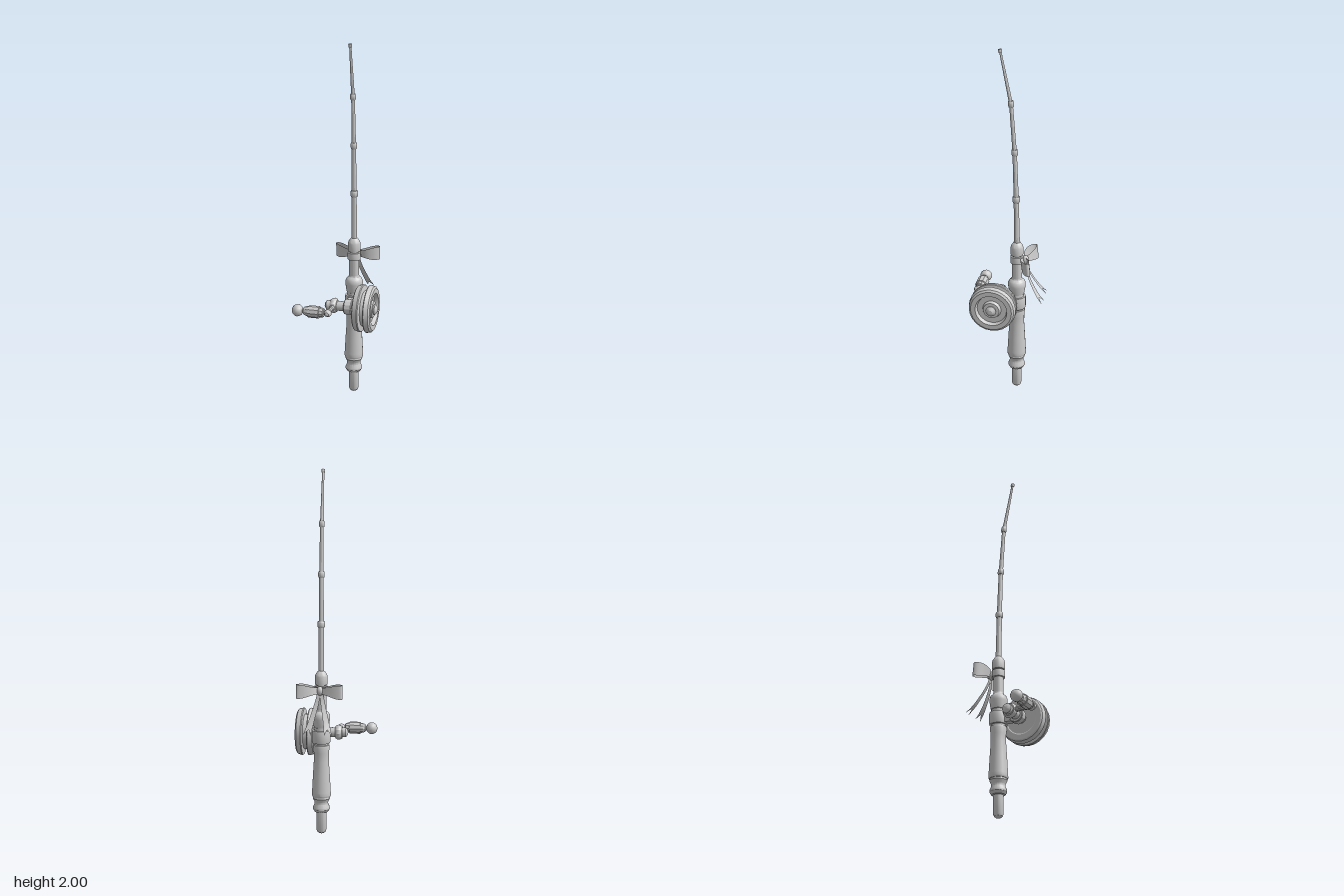
import * as THREE from 'three';
import { toCreasedNormals } from 'three/addons/utils/BufferGeometryUtils.js';

const ROD_X = 0.06, ROD_Z = -0.057;   // handle axis
const REEL_Y = 0.55, REEL_Z = 0.056;  // reel axis
const V = (x, y, z) => new THREE.Vector3(x, y, z);
const grey = new THREE.MeshStandardMaterial({ color: 0xcccccc });
const cloth = new THREE.MeshStandardMaterial({ color: 0xcccccc, side: THREE.DoubleSide });

function part(parent, name, geometry, material = grey) {
  const mesh = new THREE.Mesh(geometry, material);
  mesh.name = name;
  parent.add(mesh);
  return mesh;
}

// Turned shape from [radius, height] pairs, with crisp edges
function turned(points, sides = 20, crease = 0.5) {
  const g = new THREE.LatheGeometry(points.map(p => new THREE.Vector2(p[0], p[1])), sides);
  return toCreasedNormals(g, crease);
}

// The same, with its axis along x
const turnedX = (points, sides, crease) => turned(points, sides, crease).rotateZ(-Math.PI / 2);

// Surface through a grid of points, given row by row
function sheet(rows) {
  const n = rows[0].length, index = [];
  for (let i = 0; i < rows.length - 1; i++) {
    for (let j = 0; j < n - 1; j++) {
      const a = i * n + j, b = a + n;
      index.push(a, b, a + 1, b, b + 1, a + 1);
    }
  }
  const g = new THREE.BufferGeometry().setFromPoints(rows.flat());
  g.setIndex(index);
  g.computeVertexNormals();
  return g;
}

// Turned piece laid from point a towards point b
function between(mesh, a, b) {
  mesh.position.copy(a);
  mesh.quaternion.setFromUnitVectors(V(0, 1, 0), b.clone().sub(a).normalize());
}

function buildHandle() {
  const handle = new THREE.Group();
  handle.name = 'handle';
  part(handle, 'buttEnd', turned([[0, 0], [0.014, 0.002], [0.023, 0.009], [0.027, 0.02],
    [0.028, 0.135]]));
  part(handle, 'buttCollar', turned([[0.027, 0.122], [0.037, 0.125], [0.047, 0.14], [0.047, 0.15],
    [0.038, 0.17], [0.038, 0.182], [0.048, 0.202], [0.046, 0.212], [0.03, 0.214]]));
  part(handle, 'grip', turned([[0.03, 0.21], [0.05, 0.212], [0.053, 0.22], [0.052, 0.24],
    [0.047, 0.33], [0.042, 0.41], [0.042, 0.46], [0.046, 0.492], [0.044, 0.503], [0.035, 0.506]]));
  part(handle, 'reelSeat', turned([[0.038, 0.49], [0.038, 0.62]]));
  part(handle, 'reelBand', turned([[0.036, 0.515], [0.048, 0.515], [0.05, 0.522], [0.05, 0.578],
    [0.048, 0.585], [0.036, 0.585]]));
  part(handle, 'foreGrip', turned([[0.035, 0.6], [0.041, 0.603], [0.043, 0.615], [0.049, 0.65],
    [0.049, 0.665], [0.043, 0.68], [0.03, 0.692], [0.028, 0.70]]));
  part(handle, 'neck', turned([[0.028, 0.69], [0.027, 0.85]]));
  part(handle, 'ferrule', turned([[0.027, 0.838], [0.034, 0.84], [0.035, 0.846], [0.035, 0.885],
    [0.032, 0.895], [0.021, 0.912], [0.015, 0.916]]));
  handle.position.set(ROD_X, 0, ROD_Z);
  return handle;
}

function buildRod() {
  const rod = new THREE.Group();
  rod.name = 'rod';
  // Joints as height, z, rod radius, collar radius
  const joints = [[0.90, -0.057, 0.0165, 0], [1.17, -0.052, 0.014, 0.021], [1.44, -0.043, 0.012, 0.0175],
    [1.71, -0.023, 0.010, 0.0155], [1.992, 0.034, 0.006, 0.0105]];
  for (let i = 1; i < joints.length; i++) {
    const [y0, z0, r0] = joints[i - 1], [y1, z1, r1, rc] = joints[i];
    const a = V(ROD_X, y0, z0), b = V(ROD_X, y1, z1), len = a.distanceTo(b);
    between(part(rod, 'rodSection', turned([[r0, 0], [r1, len]], 12)), a, b);
    const h = i === 4 ? 0.009 : 0.017;
    const collar = part(rod, i === 4 ? 'rodTip' : 'rodCollar', turned([[0, -h], [rc * 0.85, -h],
      [rc, -h * 0.6], [rc, h * 0.6], [rc * 0.85, h], [0, h]], 12));
    between(collar, b, b.clone().multiplyScalar(2).sub(a));
  }
  return rod;
}

function buildReel() {
  const reel = new THREE.Group();
  reel.name = 'reel';
  reel.position.set(0, REEL_Y, REEL_Z);
  // Spool with a line groove and a dished outer face
  part(reel, 'spool', turnedX([[0, 0.11], [0.085, 0.11], [0.09, 0.107], [0.118, 0.107], [0.126, 0.112],
    [0.133, 0.138], [0.13, 0.143], [0.098, 0.147], [0.098, 0.168], [0.13, 0.171], [0.133, 0.176],
    [0.127, 0.2], [0.116, 0.208], [0.09, 0.208], [0.083, 0.185], [0.052, 0.185], [0.045, 0.203],
    [0, 0.205]], 24));
  part(reel, 'spoolCap', turnedX([[0.027, 0.2], [0.03, 0.212], [0.011, 0.225], [0, 0.226]], 12));
  part(reel, 'shaft', turnedX([[0, -0.076], [0.012, -0.074], [0.027, -0.063], [0.027, 0.11]], 16));
  // Clamp that holds the shaft to the handle
  part(reel, 'clamp', turnedX([[0, 0.039], [0.04, 0.039], [0.043, 0.043], [0.043, 0.079],
    [0.04, 0.083], [0, 0.083]], 12));
  part(reel, 'clampFoot', new THREE.BoxGeometry(0.04, 0.06, 0.08)).position.set(0.061, 0, -0.055);

  const crank = new THREE.Group();
  crank.name = 'crank';
  reel.add(crank);
  part(crank, 'crankHub', turnedX([[0.026, -0.043], [0.034, -0.042], [0.041, -0.031], [0.043, -0.023],
    [0.041, -0.014], [0.034, -0.005], [0.026, -0.004]], 12));
  const arm = part(crank, 'crankArm', turned([[0.016, 0.03], [0.012, 0.06], [0.013, 0.105], [0.02, 0.117],
    [0.022, 0.128], [0.012, 0.15], [0, 0.155]], 10).rotateX(Math.PI / 2));
  arm.position.x = -0.023;

  // Turned knob on the end of the arm
  const knob = new THREE.Group();
  knob.name = 'crankKnob';
  knob.position.z = 0.126;
  crank.add(knob);
  part(knob, 'knobGrip', turnedX([[0.011, -0.17], [0.013, -0.163], [0.022, -0.157], [0.028, -0.14],
    [0.028, -0.131], [0.034, -0.13], [0.034, -0.07], [0.028, -0.069], [0.026, -0.048], [0.022, -0.044],
    [0, -0.043]], 10));
  part(knob, 'knobPin', turnedX([[0.011, -0.18], [0.011, -0.015]], 10));
  const ball = part(knob, 'knobBall', new THREE.SphereGeometry(0.034, 14, 10).rotateZ(Math.PI / 2));
  ball.position.x = -0.195;
  ball.scale.x = 0.92;
  return reel;
}

function buildBow() {
  const bow = new THREE.Group();
  bow.name = 'bow';
  bow.position.set(ROD_X, 0, 0);
  const band = part(bow, 'bowBand', turned([[0.026, 0.79], [0.036, 0.792], [0.037, 0.81],
    [0.036, 0.832], [0.026, 0.834]], 16));
  band.position.z = ROD_Z;
  const knot = part(bow, 'bowKnot', new THREE.SphereGeometry(1, 12, 8));
  knot.scale.set(0.02, 0.026, 0.02);
  knot.position.set(0, 0.812, -0.105);

  // Outline of one loop, as seen from above
  const outline = new THREE.CatmullRomCurve3([[0.008, -0.112], [0.045, -0.132], [0.088, -0.147],
    [0.122, -0.149], [0.126, -0.137], [0.108, -0.115], [0.075, -0.097], [0.04, -0.092], [0.008, -0.103]]
    .map(([x, z]) => V(x, 0, z)));
  // Centre line of one tail: offset from the middle, height, z, half width
  const tail = new THREE.CatmullRomCurve3([V(0.006, 0.805, -0.102), V(0.017, 0.745, -0.118),
    V(0.035, 0.675, -0.153), V(0.048, 0.625, -0.185), V(0.058, 0.59, -0.217)]);

  for (const side of [1, -1]) {
    const loopRows = outline.getPoints(28).map(p => {
      const half = 0.018 + 0.02 * THREE.MathUtils.smoothstep(p.x, 0.01, 0.115);
      return [-1, 0, 1].map(k => V(side * p.x, 0.814 + k * half, p.z + k * 0.004));
    });
    part(bow, side > 0 ? 'leftLoop' : 'rightLoop', sheet(loopRows), cloth);

    // The middle of each row lags behind, which cuts the notch in the end
    const tailRows = [];
    for (let i = 0; i <= 12; i++) {
      const t = i / 12, half = 0.009 + 0.012 * t;
      tailRows.push([-1, 0, 1].map(k => {
        const p = tail.getPoint(k === 0 ? t * 0.8 : t);
        return V(side * (p.x + k * half), p.y, p.z + k * 0.004 * t);
      }));
    }
    part(bow, side > 0 ? 'leftTail' : 'rightTail', sheet(tailRows), cloth);
  }
  return bow;
}

export function createModel() {
  const model = new THREE.Group();
  model.name = 'fishingRod';
  model.add(buildHandle(), buildRod(), buildReel(), buildBow());
  return model;
}
